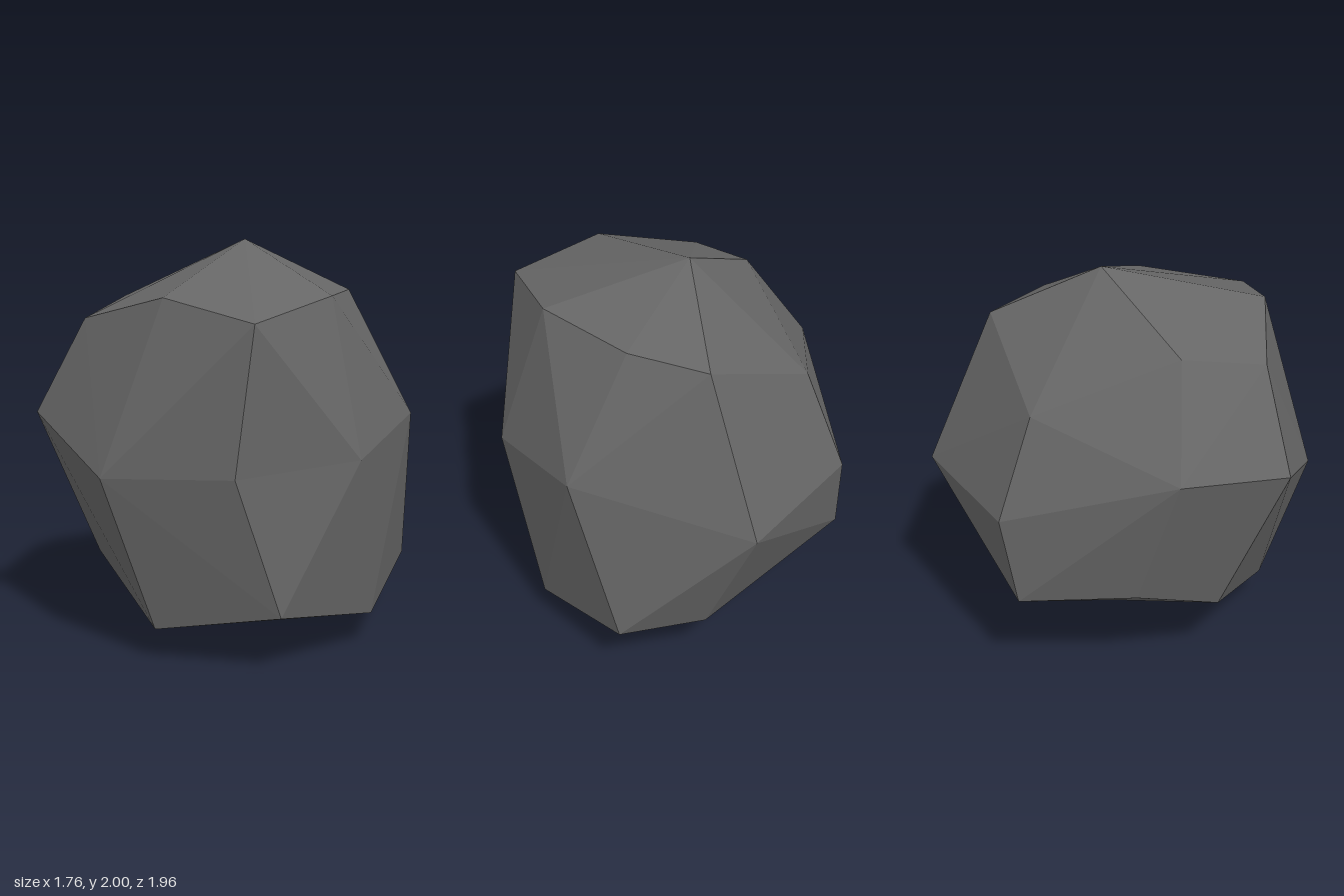
import * as THREE from 'three';

// Rings of eight corners, starting at the front and turning towards +x
const upperRing = [
  [0.08, 1.78, 0.75], [0.57, 1.69, 0.73], [0.65, 1.77, 0.17], [0.46, 1.745, -0.35],
  [0.18, 1.71, -0.64], [-0.47, 1.42, -0.47], [-0.53, 1.71, 0.24], [-0.46, 1.64, 0.66],
];
const middleRing = [
  [-0.13, 0.94, 0.98], [0.51, 0.98, 0.8], [0.88, 1.02, 0.28], [0.81, 1.13, -0.39],
  [0.11, 0.94, -0.98], [-0.6, 0.93, -0.64], [-0.88, 1.22, 0.2], [-0.71, 1.16, 0.75],
];
const lowerRing = [
  [0.04, 0.17, 0.79], [0.67, 0.305, 0.65], [0.81, 0.17, 0.01], [0.67, 0.305, -0.62],
  [0.24, 0.305, -0.73], [-0.645, 0.5, -0.56], [-0.73, 0.54, 0.02], [-0.57, 0.38, 0.45],
];
const peak = [-0.01, 2, -0.09];
const foot = [0.08, 0, -0.03];

// Adds a four-cornered facet, split along the diagonal that bulges outward
function addFacet(positions, ...corners) {
  const [a, b, c, d] = corners.map((p) => new THREE.Vector3(...p));
  const plane = new THREE.Plane().setFromCoplanarPoints(a, b, c);
  const order = plane.distanceToPoint(d) <= 0 ? [a, b, c, a, c, d] : [a, b, d, b, c, d];
  for (const v of order) positions.push(v.x, v.y, v.z);
}

export function createModel() {
  const positions = [];

  // Two bands of side facets
  for (const [low, high] of [[lowerRing, middleRing], [middleRing, upperRing]]) {
    for (let i = 0; i < 8; i++) {
      const j = (i + 1) % 8;
      addFacet(positions, low[i], low[j], high[j], high[i]);
    }
  }

  // Four facets meeting at the peak and four at the foot
  for (let i = 0; i < 8; i += 2) {
    const j = i + 1, k = (i + 2) % 8;
    addFacet(positions, peak, upperRing[i], upperRing[j], upperRing[k]);
    addFacet(positions, foot, lowerRing[k], lowerRing[j], lowerRing[i]);
  }

  const geometry = new THREE.BufferGeometry();
  geometry.setAttribute('position', new THREE.Float32BufferAttribute(positions, 3));
  geometry.computeVertexNormals(); // unshared corners keep every facet flat

  const stone = new THREE.MeshStandardMaterial({ color: 0x666666 });
  stone.name = 'stone grey';
  const rock = new THREE.Mesh(geometry, stone);
  rock.name = 'rock';

  const group = new THREE.Group();
  group.name = 'boulder';
  group.add(rock);
  return group;
}
